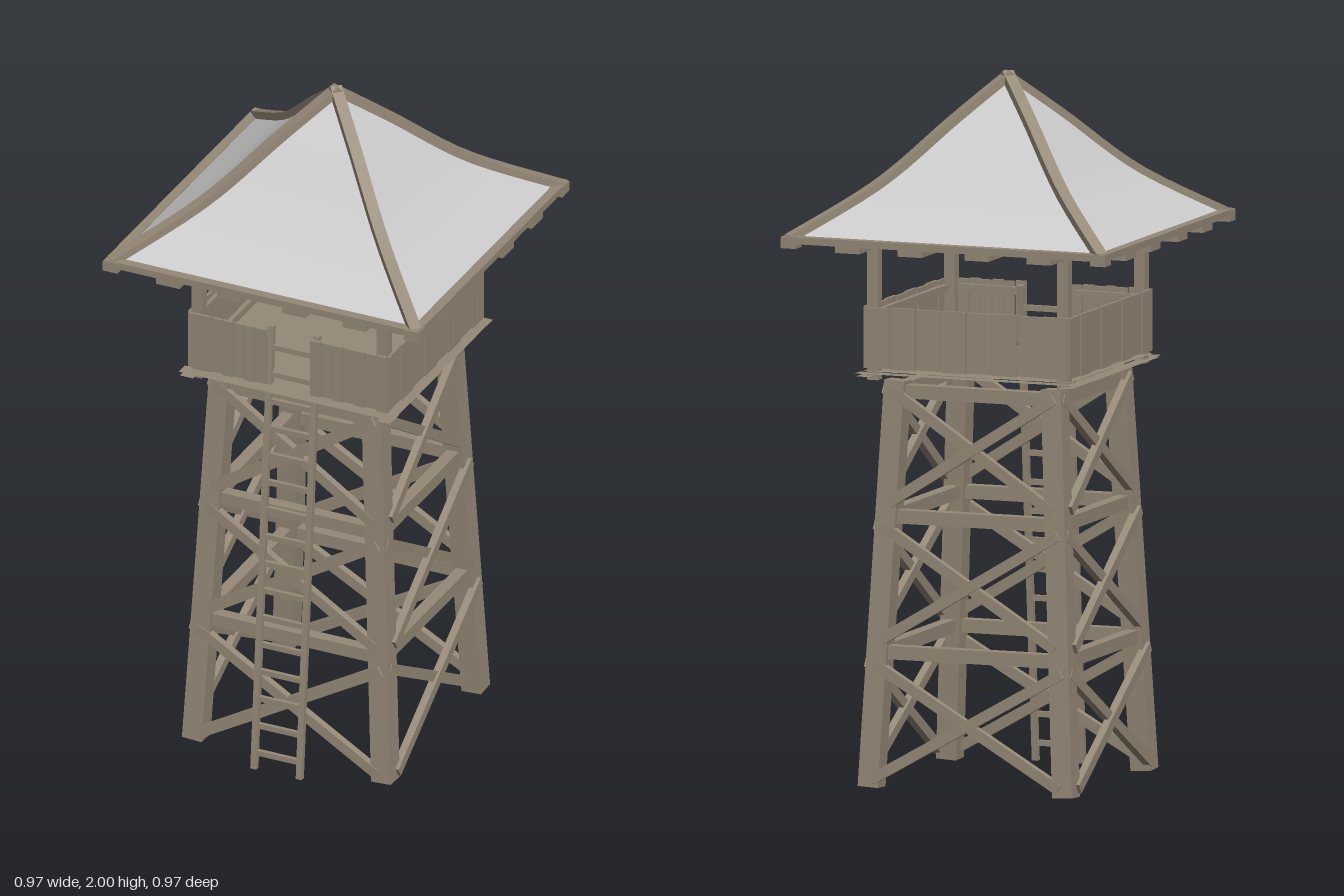
import * as THREE from 'three';
import { toCreasedNormals } from 'three/addons/utils/BufferGeometryUtils.js';

const wood = new THREE.MeshStandardMaterial({ color: 0x968a78 });
const woodSheet = new THREE.MeshStandardMaterial({ color: 0x968a78, side: THREE.DoubleSide });
const roofing = new THREE.MeshStandardMaterial({ color: 0xcccccc, side: THREE.DoubleSide });
const V = (x, y, z) => new THREE.Vector3(x, y, z);

function add(parent, name, geometry, material = wood) {
  const mesh = new THREE.Mesh(geometry, material);
  mesh.name = name;
  parent.add(mesh);
  return mesh;
}

function box(parent, name, w, h, d, x, y, z) {
  const mesh = add(parent, name, new THREE.BoxGeometry(w, h, d));
  mesh.position.set(x, y, z);
  return mesh;
}

// Box running from a to b; its depth points along the normal
function beam(parent, name, a, b, width, depth, normal = V(0, 0, 1)) {
  const dir = b.clone().sub(a);
  const length = dir.length();
  dir.normalize();
  const side = dir.clone().cross(normal).normalize();
  const out = side.clone().cross(dir);
  const mesh = add(parent, name, new THREE.BoxGeometry(width, length, depth));
  mesh.quaternion.setFromRotationMatrix(new THREE.Matrix4().makeBasis(side, dir, out));
  mesh.position.copy(a).add(b).multiplyScalar(0.5);
  return mesh;
}

function group(parent, name, turn = 0) {
  const g = new THREE.Group();
  g.name = name;
  g.rotation.y = turn;
  parent.add(g);
  return g;
}

// Distance of the leg centre line from the middle at height y
const legAt = (y) => 0.292 - 0.057 * (y / 1.15);

function buildBase(model) {
  const base = group(model, 'towerBase');
  for (const sx of [-1, 1]) for (const sz of [-1, 1]) {
    const lo = legAt(0.012), hi = legAt(1.15);
    beam(base, 'leg', V(sx * lo, 0.012, sz * lo), V(sx * hi, 1.15, sz * hi), 0.06, 0.06);
  }
  for (let k = 0; k < 4; k++) {
    const side = group(base, 'sideBracing', k * Math.PI / 2);
    for (const [beamY, low, high] of [[0.39, 0.035, 0.36], [0.77, 0.425, 0.745], [1.12, 0.81, 1.125]]) {
      const w = legAt(beamY);
      box(side, 'crossBeam', 2 * w, 0.038, 0.035, 0, beamY, w);
      for (const s of [-1, 1]) {
        const off = s > 0 ? 0.029 : 0.021;
        const a = V(-s * (legAt(low) - 0.01), low, legAt(low) + off);
        const b = V(s * (legAt(high) + 0.01), high, legAt(high) + off);
        beam(side, 'diagonalBrace', a, b, 0.03, 0.022);
      }
    }
  }
}

function buildCabin(model) {
  const cabin = group(model, 'lookoutCabin');
  const floor = add(cabin, 'floor', new THREE.PlaneGeometry(0.62, 0.62), woodSheet);
  floor.rotation.x = -Math.PI / 2;
  floor.position.y = 1.18;

  for (let k = 0; k < 4; k++) {
    const side = group(cabin, 'cabinSide', k * Math.PI / 2);
    // Thin floor edging that crosses at the corners
    const strip = add(side, 'floorEdge', new THREE.PlaneGeometry(0.66, 0.04), woodSheet);
    strip.rotation.x = -Math.PI / 2;
    strip.position.set(0, k % 2 ? 1.167 : 1.174, 0.303);

    box(side, 'cornerPost', 0.032, 0.385, 0.032, 0.285, 1.3475, 0.285);
    box(side, 'topRail', 0.6, 0.02, 0.032, 0, 1.534, 0.285);

    // Parapet: narrow slats beside the front opening, wide planks elsewhere
    const front = k === 0;
    const count = front ? 18 : 8;
    const pitch = 0.61 / count;
    for (let i = 0; i < count; i++) {
      const x = (i + 0.5) * pitch - 0.305;
      if (front && Math.abs(x) < 0.08) continue;
      box(side, 'parapetPlank', pitch - 0.003, 0.17 + (i % 2) * 0.004, 0.009,
        x, 1.275, 0.304 + (i % 2) * 0.003);
    }
    for (const y of [1.21, 1.335]) {
      if (!front) box(side, 'parapetRail', 0.58, 0.022, 0.014, 0, y, 0.294);
      else for (const s of [-1, 1]) box(side, 'parapetRail', 0.22, 0.022, 0.014, s * 0.19, y, 0.294);
    }
  }
}

function buildLadder(model) {
  const ladder = group(model, 'ladder');
  const zAt = (y) => 0.38 - 0.083 * y;
  for (const s of [-1, 1]) {
    beam(ladder, 'ladderRail', V(s * 0.07, 0.005, zAt(0)), V(s * 0.07, 1.355, zAt(1.355)), 0.018, 0.016);
  }
  for (let i = 0; i < 16; i++) {
    const y = 0.055 + i * 0.0825;
    box(ladder, 'rung', 0.14, 0.016, 0.012, 0, y, zAt(y));
  }
}

function buildRoof(model) {
  const roof = group(model, 'roof');
  // Concave slope, listed from eave to peak
  const slope = new THREE.SplineCurve([[0.472, 1.56], [0.28, 1.698], [0.12, 1.865], [0, 1.985]]
    .map(([r, y]) => new THREE.Vector2(r * Math.SQRT2, y))).getPoints(16);
  slope[16].x = 0;

  const skin = new THREE.LatheGeometry(slope, 4, Math.PI / 4);
  add(roof, 'roofSkin', toCreasedNormals(skin, 0.5), roofing);

  // Curved hip rafters over the four ridges
  const shift = (dy) => slope.map((p) => new THREE.Vector2(p.x, p.y + dy));
  const outline = new THREE.Shape([...shift(0.015), ...shift(-0.015).reverse()]);
  const hip = new THREE.ExtrudeGeometry(outline, { depth: 0.034, bevelEnabled: false });
  hip.translate(0, 0, -0.017);
  const hipGeometry = toCreasedNormals(hip, 0.5);

  for (let k = 0; k < 4; k++) {
    const turn = k * Math.PI / 2;
    add(roof, 'hipRafter', hipGeometry).rotation.y = turn + Math.PI / 4;

    const eave = group(roof, 'eave', turn);
    box(eave, 'eaveBoard', k % 2 ? 0.974 : 0.962, 0.02, 0.028, 0, 1.563, 0.47);
    box(eave, 'eaveCorner', 0.045, 0.03, 0.045, 0.464, 1.555, 0.464);
    box(eave, 'innerEaveBoard', 0.76, 0.014, 0.03, 0, 1.555, 0.375);
    // Stub rafters under the overhang
    for (const x of [-0.287, -0.1, 0.1, 0.287]) {
      box(eave, 'stubRafter', 0.072, 0.018, 0.213, x, 1.544, 0.377);
    }
  }
}

export function createModel() {
  const model = new THREE.Group();
  model.name = 'watchtower';
  buildBase(model);
  buildCabin(model);
  buildLadder(model);
  buildRoof(model);
  return model;
}
